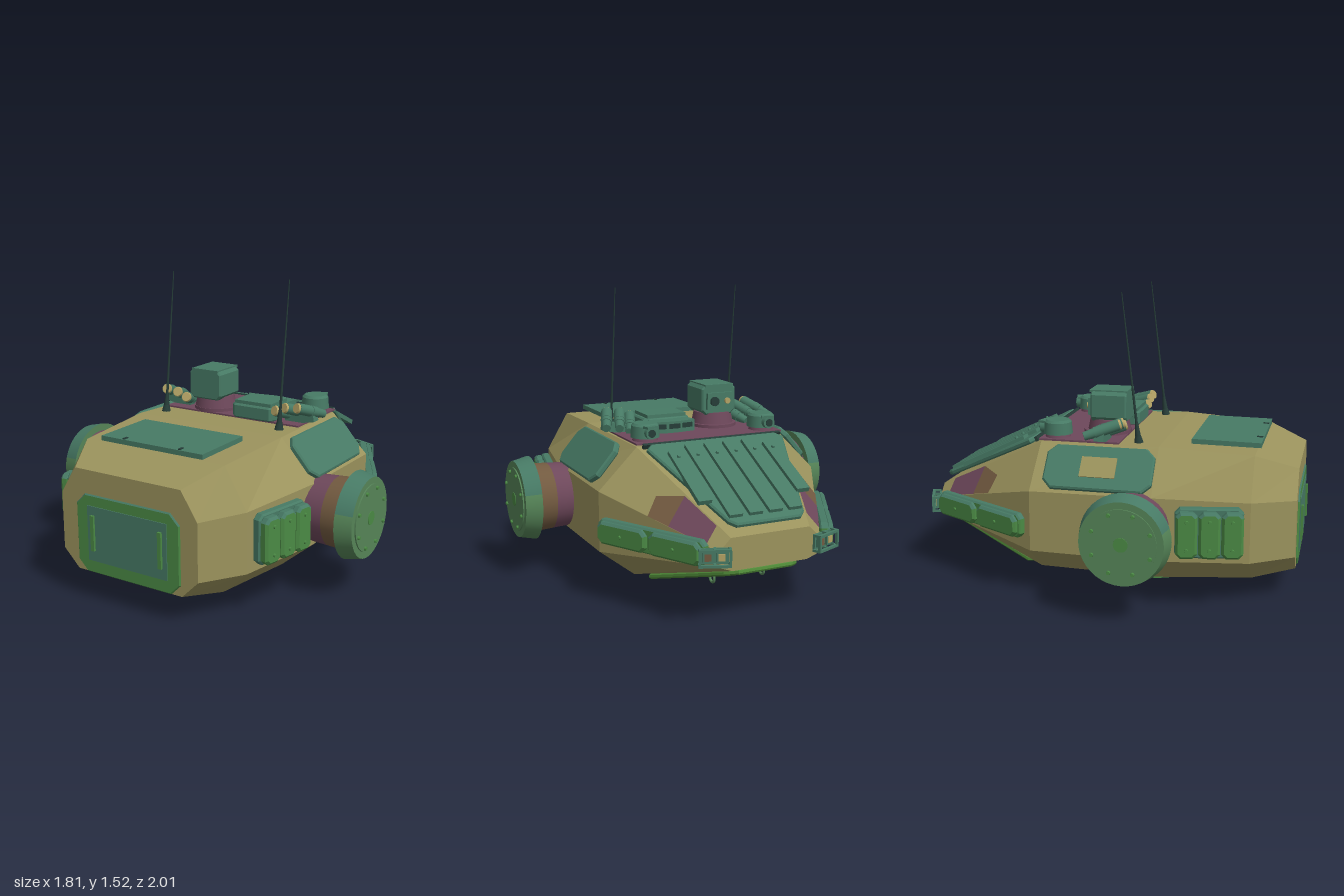
import * as THREE from 'three';

const paint = (name, color) => Object.assign(new THREE.MeshStandardMaterial({ color }), { name });
const V = (x, y, z) => new THREE.Vector3(x, y, z);

export function createModel() {
  const root = new THREE.Group();
  root.name = 'armouredCapsule';
  const tan = paint('tan', 0x9b935d), teal = paint('teal', 0x477a65), green = paint('leafGreen', 0x4b8a45);
  const purple = paint('plum', 0x6e485b), brown = paint('brown', 0x725a40), dark = paint('darkGreen', 0x263d38);
  const sage = paint('sage', 0x568558), brass = paint('brass', 0xb3a265), moss = paint('moss', 0x4f8a38);

  const add = (name, geo, mat, parent, p = [0, 0, 0], r = [0, 0, 0]) => {
    const m = new THREE.Mesh(geo, mat);
    m.name = name;
    m.position.set(...p);
    m.rotation.set(...r);
    parent.add(m);
    return m;
  };
  const box = (name, w, h, d, mat, parent, p, r) => add(name, new THREE.BoxGeometry(w, h, d), mat, parent, p, r);
  const cyl = (name, r1, r2, h, mat, parent, p, r, n = 24) =>
    add(name, new THREE.CylinderGeometry(r1, r2, h, n), mat, parent, p, r);
  // Cylinder along local z; r1 is the outer end
  const cylZ = (name, r1, r2, h, mat, parent, p, n = 24) => cyl(name, r1, r2, h, mat, parent, p, [Math.PI / 2, 0, 0], n);
  // Group whose local z is the outward normal and local x a chosen direction
  const frame = (name, o, x, n) => {
    const g = new THREE.Group();
    g.name = name;
    n.normalize();
    const y = n.clone().cross(x).normalize();
    g.quaternion.setFromRotationMatrix(new THREE.Matrix4().makeBasis(y.clone().cross(n), y, n));
    g.position.copy(o);
    root.add(g);
    return g;
  };
  // Plate with clipped corners, widths from a (bottom) to b (top), growing along +z with a small bevel
  const plate = (a, b, h, c, d, bev = 0.008) => {
    a -= bev; b -= bev; h = h / 2 - bev;
    const s = new THREE.Shape([[-a + c, -h], [a - c, -h], [a, -h + c], [b, h - c], [b - c, h],
      [-b + c, h], [-b, h - c], [-a, -h + c]].map(q => new THREE.Vector2(...q)));
    return new THREE.ExtrudeGeometry(s, { depth: d - 2 * bev, bevelEnabled: true, bevelSize: bev, bevelThickness: bev, bevelSegments: 1 })
      .translate(0, 0, bev);
  };
  // Faces looking up take the second colour
  const twoTone = (name, geo, side, top, parent, p) => {
    const g = geo.index ? geo.toNonIndexed() : geo, pos = g.attributes.position;
    g.clearGroups();
    const t = new THREE.Triangle(), n = V(0, 0, 0);
    for (let i = 0; i < pos.count; i += 3) {
      t.setFromAttributeAndIndices(pos, i, i + 1, i + 2).getNormal(n);
      g.addGroup(i, 3, n.y > 0.3 ? 1 : 0);
    }
    return add(name, g, [side, top], parent, p);
  };
  const bolt = (p, parent, mat, r = 0.01) => cylZ('bolt', r * 0.8, r, 0.012, mat, parent, p, 8);

  // Hull: octagonal sections [z, side, roof, floor, yBottom, yLow, yHigh, yTop]
  const rings = [
    [0.98, 0.4, 0.31, 0.31, 0.15, 0.24, 0.53, 0.67], [0.77, 0.53, 0.41, 0.4, 0.115, 0.235, 0.54, 0.745],
    [0.3, 0.625, 0.44, 0.45, 0.095, 0.24, 0.56, 0.77], [-0.32, 0.615, 0.41, 0.43, 0.095, 0.24, 0.55, 0.755],
    [-0.95, 0.27, 0.21, 0.2, 0.28, 0.305, 0.38, 0.44],
  ].map(([z, w, t, b, y0, y1, y2, y3]) =>
    [[b, y0], [w, y1], [w, y2], [t, y3], [-t, y3], [-w, y2], [-w, y1], [-b, y0]].map(([x, y]) => V(x, y, z)));
  const tri = [];
  for (let k = 0; k < rings.length - 1; k++) for (let i = 0; i < 8; i++) {
    const j = (i + 1) % 8, a = rings[k], d = rings[k + 1];
    tri.push(a[i], d[i], d[j], a[i], d[j], a[j]);
  }
  for (let i = 1; i < 7; i++) {
    tri.push(rings[0][0], rings[0][i], rings[0][i + 1]);
    tri.push(rings[4][0], rings[4][i + 1], rings[4][i]);
  }
  const hull = new THREE.BufferGeometry().setFromPoints(tri);
  hull.computeVertexNormals();
  add('hull', hull, tan, root);
  box('deckPatch', 0.83, 0.009, 0.42, purple, root, [0, 0.769, -0.12]);

  // Front door and roof hatch
  const door = frame('frontDoor', V(0, 0.35, 0.968), V(1, 0, 0), V(0, 0, 1));
  twoTone('doorFrame', plate(0.305, 0.305, 0.4, 0.05, 0.02, 0.006), green, teal, door);
  box('doorPanel', 0.47, 0.28, 0.008, teal, door, [0, 0.005, 0.02]);
  for (const s of [1, -1]) box('doorHandle', 0.02, 0.18, 0.02, green, door, [s * 0.2, 0.01, 0.026]);
  box('roofHatch', 0.6, 0.025, 0.35, teal, root, [0, 0.773, 0.615], [0.01, 0, 0]);
  for (const s of [1, -1]) box('hatchHinge', 0.012, 0.012, 0.03, dark, root, [s * 0.165, 0.783, 0.77]);

  // Rear engine grille with ribs; local y runs down the slope
  const grille = frame('rearGrille', V(0, 0.61, -0.64), V(1, 0, 0), V(0, 0.59, -0.285));
  add('grillePlate', plate(0.385, 0.205, 0.64, 0.03, 0.03), teal, grille);
  box('grilleLip', 0.78, 0.015, 0.025, dark, grille, [0, -0.325, 0.012]);
  for (let i = 0; i < 6; i++) {
    const short = i === 0 || i === 5, x = (i - 2.5) * 0.106;
    box('grilleRib', 0.07, short ? 0.385 : 0.54, 0.024, teal, grille, [x, short ? -0.035 : 0.005, 0.036]);
    bolt([x, -0.175, 0.052], grille, teal);
  }

  // Belly plate with towing rings; local y runs forward
  const belly = frame('bellyPlate', V(0, 0.185, -0.63), V(1, 0, 0), V(0, -0.62, -0.185));
  add('bellyPanel', plate(0.2, 0.385, 0.58, 0.05, 0.028), moss, belly);
  box('bellyBar', 0.16, 0.015, 0.012, moss, belly, [0, 0.01, 0.032]);
  for (const s of [1, -1])
    add('towRing', new THREE.TorusGeometry(0.024, 0.007, 8, 16), sage, belly, [s * 0.14, 0.02, 0.048], [0, Math.PI / 2, 0]);

  // Bottom coupling
  cyl('couplingNeck', 0.24, 0.24, 0.08, brown, root, [0, 0.07, 0.2], [0, 0, 0], 40);
  cyl('couplingFlange', 0.258, 0.258, 0.02, teal, root, [0, 0.028, 0.2], [0, 0, 0], 40);
  cyl('couplingBase', 0.25, 0.25, 0.016, green, root, [0, 0.014, 0.2], [0, 0, 0], 40);
  cyl('couplingHub', 0.065, 0.065, 0.008, brown, root, [0, 0.004, 0.2]);

  for (const s of [1, -1]) {
    // Side arm with bolted flange
    const arm = frame('sideArm', V(s * 0.55, 0.41, 0.215), V(0, 0, -s), V(s, 0, 0));
    cylZ('armInner', 0.177, 0.168, 0.16, purple, arm, [0, 0, 0.08], 32);
    cylZ('armOuter', 0.184, 0.177, 0.11, s > 0 ? brown : purple, arm, [0, 0, 0.215], 32);
    twoTone('armFlange', new THREE.CylinderGeometry(0.203, 0.223, 0.085, 40).rotateX(Math.PI / 2), sage, teal, arm, [0, 0, 0.297]);
    cylZ('armCap', 0.17, 0.17, 0.012, sage, arm, [0, 0, 0.34], 40);
    cylZ('armHub', 0.035, 0.035, 0.006, green, arm, [0, 0, 0.346]);
    for (let i = 0; i < 8; i++) {
      const a = (i + 0.5) * Math.PI / 4;
      bolt([0.15 * Math.cos(a), 0.15 * Math.sin(a), 0.35], arm, green, 0.011);
    }

    // Shoulder hatch
    const hatch = frame('shoulderHatch', V(s * 0.53, 0.655, 0.02), V(0, 0, -s), V(s * 0.21, 0.18, 0));
    add('hatchPlate', plate(0.275, 0.275, 0.24, 0.04, 0.034), teal, hatch);
    if (s < 0) box('hatchPatch', 0.18, 0.11, 0.008, tan, hatch, [0, 0, 0.035]);

    // Triple side boxes on the front flank
    const flank = frame('flankBoxes', V(s * 0.572, 0.4, 0.575), V(0.095, 0, -0.47 * s), V(s * 0.47, 0, 0.095));
    add('flankBacking', plate(0.165, 0.165, 0.25, 0.02, 0.045), teal, flank);
    for (let i = -1; i <= 1; i++) {
      twoTone('flankBox', plate(0.052, 0.052, 0.23, 0.015, 0.05, 0.012), green, teal, flank, [i * 0.11, 0, 0.038]);
      for (const y of [0.07, -0.07]) bolt([i * 0.11, y, 0.091], flank, green);
    }

    // Rear flank pods
    const pod = frame('rearPod', V(s * 0.45, 0.368, -0.625), V(-0.345, 0, -0.63 * s), V(s * 0.63, 0, -0.345));
    twoTone('podBacking', plate(0.32, 0.32, 0.125, 0.02, 0.042), green, teal, pod);
    for (const e of [1, -1]) {
      twoTone('podBox', plate(0.15, 0.15, 0.112, 0.02, 0.036, 0.012), green, teal, pod, [e * 0.158, 0, 0.032]);
      bolt([e * 0.158, 0, 0.07], pod, green);
    }

    // Tail lamps inside an open guard
    const tail = frame('tailLamp', V(s * 0.29, 0.362, -0.945), V(-1, 0, -s * 0.4), V(s * 0.4, 0, -1));
    box('lampBack', 0.13, 0.075, 0.012, teal, tail, [0, 0, -0.006]);
    for (const e of [1, -1]) {
      box('lampBody', 0.045, 0.05, 0.02, teal, tail, [e * 0.032, 0, 0.008]);
      box('lampGlass', 0.032, 0.034, 0.005, e > 0 ? brass : brown, tail, [e * 0.032, 0, 0.019]);
      box('guardRail', 0.15, 0.012, 0.014, teal, tail, [0, e * 0.037, 0.033]);
      for (const x of [-0.07, 0, 0.07]) box('guardStay', 0.012, 0.012, 0.04, teal, tail, [x, e * 0.037, 0.015]);
      box('guardPost', 0.012, 0.075, 0.014, teal, tail, [e * 0.07, 0, 0.033]);
    }

    // Camouflage patches on the sloping rear shoulder, given as (across, along) in the flat facet
    const [A, B, D] = [rings[3][3], rings[3][2], rings[4][3]], C = rings[4][2];
    for (const [name, mat, uv] of [
      ['plumPatch', purple, [[0.05, 0.55], [1, 0.6], [1, 0.9], [0.05, 0.87]]],
      ['brownPatch', brown, [[0.05, 0.55], [0.5, 0.38], [1, 0.43], [1, 0.6]]]]) {
      const p = uv.map(([u, v]) => A.clone().lerp(B, u).lerp(D.clone().lerp(C, u), v)
        .add(V(0.003, 0.003, -0.0025)).multiply(V(s, 1, 1)));
      if (s < 0) p.reverse();
      const g = new THREE.BufferGeometry().setFromPoints([p[0], p[1], p[2], p[0], p[2], p[3]]);
      g.computeVertexNormals();
      add(name, g, mat, root);
    }

    // Round periscope with rear lens
    cyl('periscopeBase', 0.06, 0.068, 0.03, purple, root, [s * 0.335, 0.78, -0.25]);
    cyl('periscopeHead', 0.07, 0.075, 0.06, teal, root, [s * 0.335, 0.82, -0.25]);
    cyl('periscopeLid', 0.058, 0.07, 0.012, teal, root, [s * 0.335, 0.856, -0.25]);
    cylZ('periscopeRim', 0.032, 0.03, 0.03, teal, root, [s * 0.335, 0.82, -0.325]);
    cylZ('periscopeLens', 0.02, 0.02, 0.01, dark, root, [s * 0.335, 0.82, -0.339]);
    box('periscopeHood', 0.065, 0.012, 0.04, teal, root, [s * 0.335, 0.85, -0.32], [0, s * 0.3, 0]);

    // Triple smoke tubes, muzzles forward and up
    for (const [x, y] of [[0.412, 0.866], [0.34, 0.858], [0.282, 0.836]]) {
      const tube = frame('smokeTube', V(s * x, y, 0.09), V(1, 0, 0), V(-s * 0.07, 0.06, 0.18));
      cylZ('tubeBody', 0.029, 0.029, 0.13, teal, tube, [0, 0, -0.065], 16);
      cylZ('tubeBand', 0.031, 0.031, 0.01, teal, tube, [0, 0, -0.095], 16);
      cylZ('tubeBreech', 0.026, 0.022, 0.07, teal, tube, [0, 0, -0.15], 16);
      cylZ('tubeCap', 0.024, 0.028, 0.012, brass, tube, [0, 0, 0.005], 16);
    }
    box('tubeMount', 0.17, 0.05, 0.05, teal, root, [s * 0.385, 0.795, 0], [0, 0, s * 0.2]);

    // Whip antenna leaning back
    const whip = frame('antenna', V(s * 0.355, 0.765, 0.18), V(1, 0, 0), V(0, 0.755, -0.09));
    cylZ('antennaFoot', 0.016, 0.024, 0.035, dark, whip, [0, 0, 0.018], 12);
    cylZ('antennaSpring', 0.008, 0.015, 0.07, dark, whip, [0, 0, 0.068], 12);
    cylZ('antennaRod', 0.0025, 0.007, 0.66, dark, whip, [0, 0, 0.43], 8);
  }

  // Sight turret
  cyl('sightRing', 0.125, 0.125, 0.02, purple, root, [-0.16, 0.78, -0.03]);
  cyl('sightPedestal', 0.1, 0.115, 0.07, purple, root, [-0.16, 0.815, -0.02]);
  add('sightBox', plate(0.1, 0.1, 0.165, 0.02, 0.19), teal, root, [-0.16, 0.922, -0.1]);
  box('sightLid', 0.165, 0.012, 0.2, teal, root, [-0.16, 0.998, -0.008]);
  box('sightFrame', 0.15, 0.09, 0.02, teal, root, [-0.16, 0.915, -0.108]);
  for (const [x, r, m] of [[-0.125, 0.025, dark], [-0.2, 0.016, brass]])
    cylZ('sightLens', r, r, 0.016, m, root, [x, 0.915, -0.122], 16);

  // Crew hatch with curved visor
  add('crewHatch', plate(0.13, 0.13, 0.2, 0.02, 0.075), teal, root, [0.14, 0.77, 0], [-Math.PI / 2, 0, 0]);
  box('crewHatchLid', 0.22, 0.02, 0.17, teal, root, [0.14, 0.853, 0]);
  for (const i of [-1, 0, 1]) {
    const z = 0.008 * Math.abs(i);
    box('visor', 0.085, 0.06, 0.08, teal, root, [0.14 + i * 0.075, 0.81, -0.145 + z], [0, -i * 0.15, 0]);
    box('visorGlass', 0.06, 0.025, 0.006, dark, root, [0.14 + i * 0.075, 0.815, -0.187 + z], [0, -i * 0.15, 0]);
  }
  return root;
}
